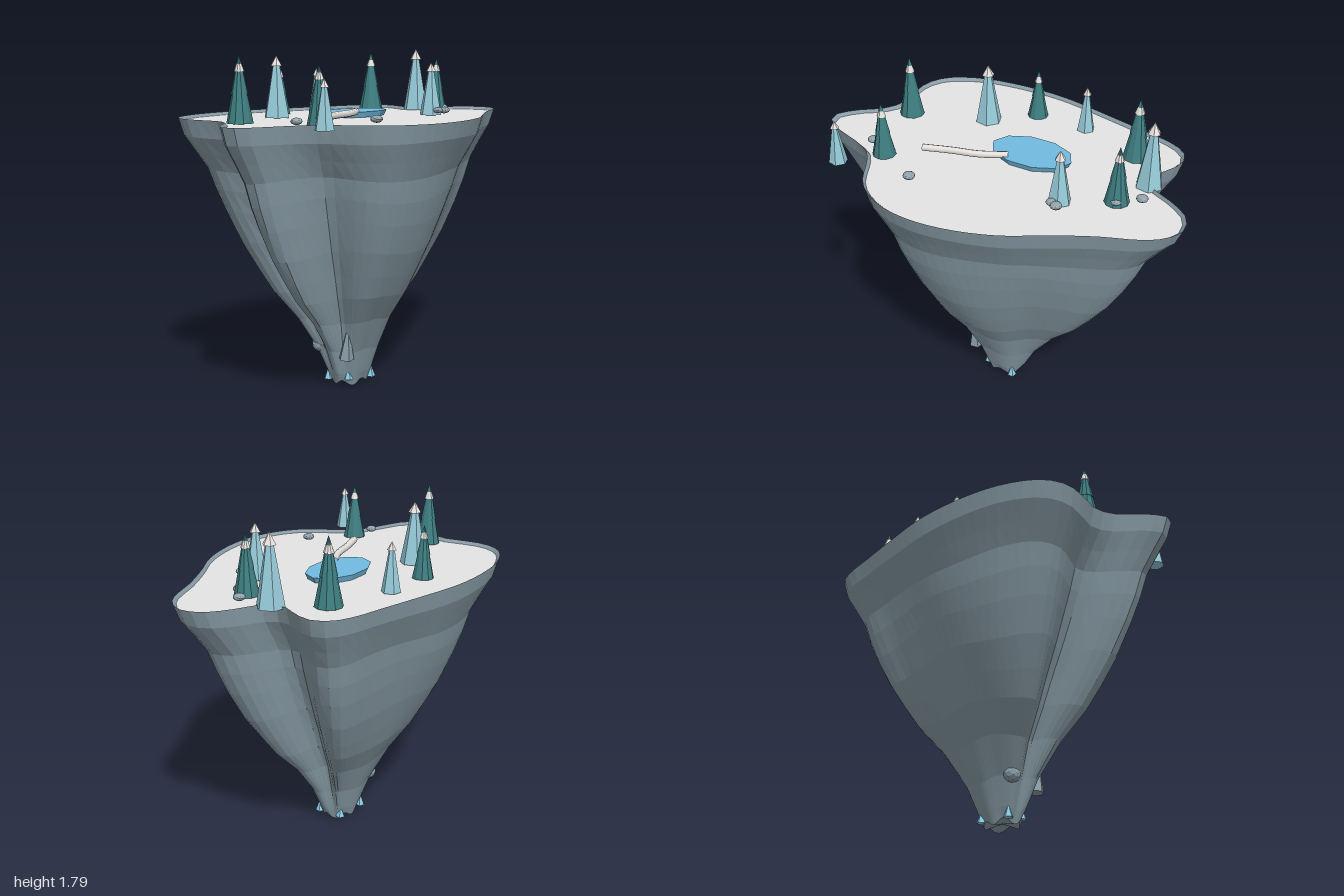
import * as THREE from 'three';

const mat = (name, color, extra = {}) => {
  const m = new THREE.MeshStandardMaterial({ color, flatShading: true, ...extra });
  m.name = name;
  return m;
};

export function createModel() {
  const island = new THREE.Group();
  island.name = 'floatingIsland';
  const rock = mat('slateRock', 0x8a9ea8);
  const ground = mat('paleGround', 0xe5e5e5, { side: THREE.DoubleSide });
  const water = mat('lakeBlue', 0x72bce0);
  const stream = mat('streamWhite', 0xe6e2de, { flatShading: false });
  const pine = mat('darkTeal', 0x3f7f82);
  const ice = mat('paleTeal', 0x98cddb);
  const snow = mat('snow', 0xf0eae6);
  const stone = mat('boulderGrey', 0x93a3ac);
  const crystal = mat('crystalBlue', 0x8fd3ee);

  const add = (name, geo, material, x = 0, y = 0, z = 0, parent = island) => {
    const mesh = new THREE.Mesh(geo, material);
    mesh.name = name;
    mesh.position.set(x, y, z);
    parent.add(mesh);
    return mesh;
  };

  // Lobed coastline as x, z pairs, running back, left, front, right
  const coast = [
    [-0.05, -1], [0.08, -0.94], [0.24, -0.71], [0.37, -0.545], [0.505, -0.39], [0.61, -0.21],
    [0.675, -0.03], [0.695, 0.13], [0.67, 0.29], [0.605, 0.41], [0.48, 0.515], [0.405, 0.59],
    [0.37, 0.69], [0.345, 0.85], [0.32, 0.95], [0.25, 1], [0.14, 0.945], [0.03, 0.85],
    [-0.08, 0.815], [-0.21, 0.85], [-0.33, 0.87], [-0.45, 0.825], [-0.57, 0.67], [-0.65, 0.45],
    [-0.695, 0.185], [-0.69, -0.13], [-0.68, -0.34], [-0.67, -0.53], [-0.63, -0.64],
    [-0.55, -0.685], [-0.42, -0.66], [-0.34, -0.64], [-0.26, -0.69], [-0.225, -0.81], [-0.155, -0.95],
  ].map(([x, z]) => new THREE.Vector3(x, 0, z));
  const N = 84;
  const outline = new THREE.CatmullRomCurve3(coast, true).getSpacedPoints(N).slice(0, N);

  // Bays fold inward and lobes swell down the cone
  const near = (p, spots) => spots.reduce((f, [x, z]) =>
    f + Math.exp(-((p.x - x) ** 2 + (p.z - z) ** 2) / 0.018), 0);
  const bays = [[-0.08, 0.81], [0.41, 0.59], [-0.37, -0.65]];
  const lobes = [[0.35, 0.9], [0.66, 0.3], [-0.66, -0.6]];

  // Rock cone: scaled coastline rings [scale, height, waviness] from inner rim to underside
  const rings = [
    [0.968, 1.43, 0], [1, 1.458, 0], [0.968, 1.37, 0.004], [0.9, 1.28, 0.006], [0.835, 1.19, 0.01],
    [0.79, 1.08, 0.014], [0.73, 0.96, 0.016], [0.64, 0.8, 0.016], [0.545, 0.66, 0.014],
    [0.46, 0.54, 0.012], [0.325, 0.39, 0.012], [0.21, 0.21, 0.01], [0.145, 0.07, 0.008],
    [0.115, 0.014, 0.014], [0, 0.02, 0],
  ];
  const pos = [], index = [];
  rings.forEach(([s, y, wave], i) => {
    const drift = Math.max(0, 1 - s) ** 0.8;
    const round = 0.8 * THREE.MathUtils.clamp((0.35 - s) / 0.25, 0, 1);
    const depth = Math.min(1 - s, 0.5);
    outline.forEach((p, j) => {
      const a = (j / N) * Math.PI * 2;
      const t = Math.atan2(p.z / 0.9, p.x / 0.66);
      const k = 1 + depth * (0.12 * near(p, lobes) - 0.3 * near(p, bays));
      const x = THREE.MathUtils.lerp(p.x * k, 0.66 * Math.cos(t), round);
      const z = THREE.MathUtils.lerp(p.z * k, 0.9 * Math.sin(t), round);
      pos.push(x * s - 0.038 * drift, y + wave * Math.sin(5 * a + i * 0.6), z * s + 0.045 * drift);
      if (i === rings.length - 1) return;
      const n = (j + 1) % N, r = i * N;
      index.push(r + j, r + n, r + N + j, r + n, r + N + n, r + N + j);
    });
  });
  const cone = new THREE.BufferGeometry();
  cone.setAttribute('position', new THREE.Float32BufferAttribute(pos, 3));
  cone.setIndex(index);
  cone.computeVertexNormals();
  add('rockCone', cone, rock);

  // Ground sheet inside the rim
  const top = new THREE.Shape(outline.map((p) => new THREE.Vector2(p.x * 0.98, -p.z * 0.98)));
  add('ground', new THREE.ShapeGeometry(top).rotateX(-Math.PI / 2), ground, 0, 1.441, 0);

  // Lake: thin faceted disc, turned a little
  const lake = add('lake', new THREE.CylinderGeometry(1, 0.92, 0.03, 10), water, -0.12, 1.458, -0.06);
  lake.scale.set(0.137, 1, 0.222);
  lake.rotation.y = 0.2;

  // Stream running from the lake
  const path = new THREE.CatmullRomCurve3([[-0.02, 0.01], [0.07, 0.13], [0.13, 0.255], [0.205, 0.39]]
    .map(([x, z]) => new THREE.Vector3(x, 1.474, z)));
  add('stream', new THREE.TubeGeometry(path, 12, 0.018, 8), stream);

  // Trees: stacked frustums [bottom radius, top radius, start, end, material]
  const tree = (name, sides, parts, [x, z, r, peak]) => {
    const g = new THREE.Group();
    g.name = name;
    g.position.set(x, 1.445, z);
    const h = peak - 1.445;
    for (const [part, r0, r1, from, to, m] of parts) {
      add(part, new THREE.CylinderGeometry(r1 * r, r0 * r, (to - from) * h, sides), m,
        0, ((from + to) / 2) * h, 0, g);
    }
    island.add(g);
  };
  const darkParts = [
    ['lowerFoliage', 1, 0.55, 0, 0.45, pine], ['upperFoliage', 0.62, 0.26, 0.43, 0.8, pine],
    ['snowBand', 0.38, 0.18, 0.76, 0.88, snow], ['tip', 0.2, 0, 0.87, 1, pine],
  ];
  const paleParts = [['foliage', 1, 0.28, 0, 0.84, ice], ['snowCap', 0.47, 0, 0.83, 1, snow]];
  [[-0.46, -0.465, 0.069, 1.775], [-0.47, 0.18, 0.055, 1.71], [-0.05, 0.715, 0.066, 1.772],
    [0.34, 0.53, 0.061, 1.73], [-0.07, -0.62, 0.062, 1.745]]
    .forEach((t) => tree('darkTree', 10, darkParts, t));
  [[-0.285, -0.66, 0.071, 1.795], [0.105, -0.41, 0.06, 1.725], [-0.515, -0.105, 0.048, 1.69],
    [-0.26, 0.35, 0.07, 1.765], [0.54, 0.655, 0.048, 1.675]]
    .forEach((t) => tree('paleTree', 6, paleParts, t));

  // Boulders on the ground
  [[-0.135, -0.72, 0.03], [0.175, -0.445, 0.03], [0.165, -0.41, 0.027], [0.435, 0.26, 0.031],
    [0.31, 0.64, 0.029], [-0.035, -0.64, 0.028]].forEach(([x, z, r], i) => {
    const b = add('boulder', new THREE.IcosahedronGeometry(r, 1), stone, x, 1.472, z);
    b.scale.y = 0.6;
    b.rotation.y = i;
  });

  // Stone knob and shard low on the cone
  add('stoneKnob', new THREE.IcosahedronGeometry(0.045, 1), rock, -0.105, 0.225, 0.195);
  const shard = add('stoneShard', new THREE.ConeGeometry(0.042, 0.2, 5), rock, 0.092, 0.275, 0.165);
  shard.rotation.z = -0.1;

  // Small crystals around the foot
  [[0.035, 0.075, 0.11], [-0.09, 0.055, 0.15], [0.025, 0.055, -0.055], [-0.11, 0.06, -0.03]]
    .forEach(([x, y, z]) => add('crystal', new THREE.ConeGeometry(0.026, 0.068, 5), crystal, x, y, z));

  return island;
}
